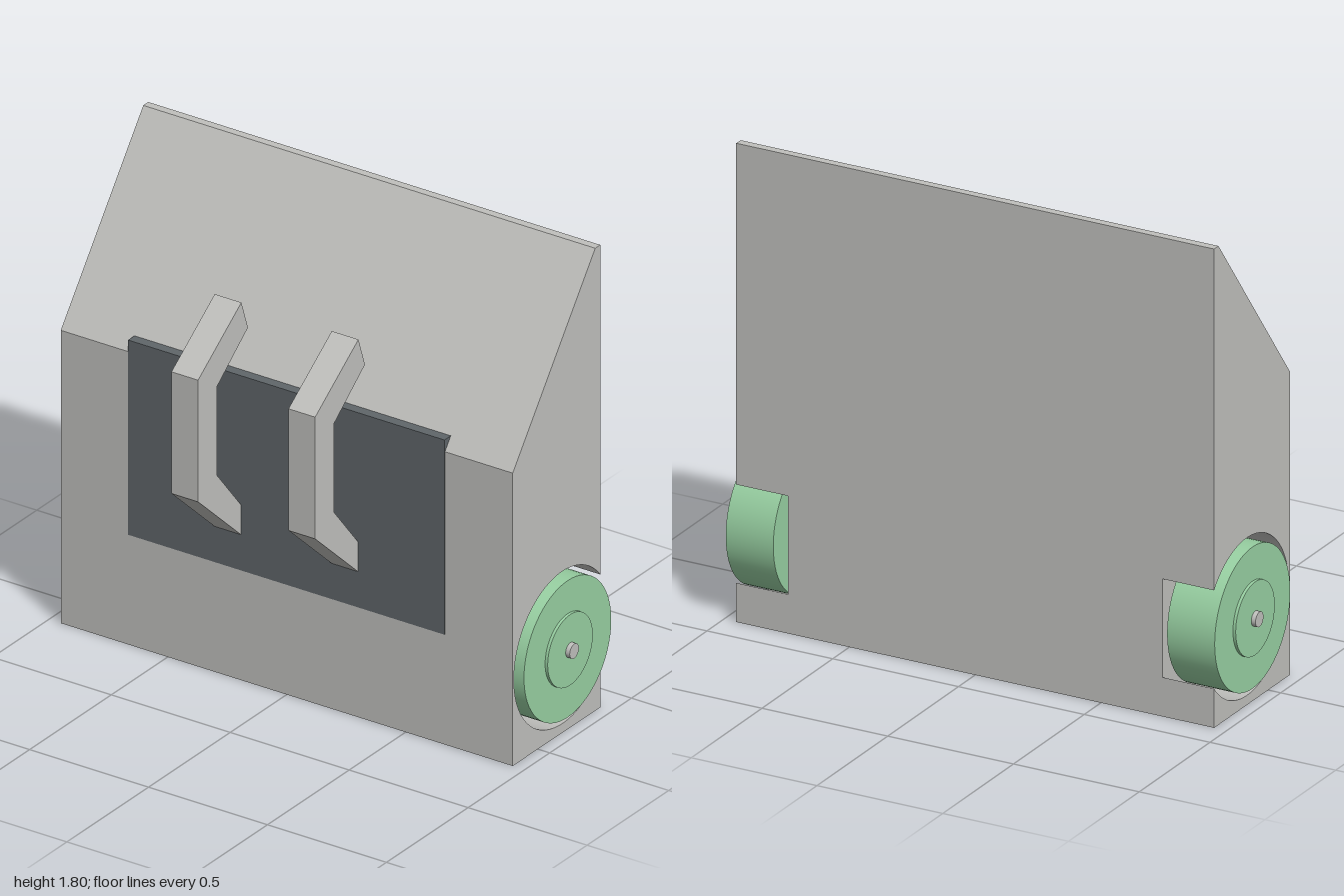
import * as THREE from 'three';
import { toCreasedNormals } from 'three/addons/utils/BufferGeometryUtils.js';

const flat = (name, color) => {
  const m = new THREE.MeshStandardMaterial({ color });
  m.name = name;
  return m;
};

// Wheel centre, well radius and body limits, in side-on (z, y) coordinates
const AXLE_Z = -0.15, AXLE_Y = 0.333, WELL_R = 0.297;
const FRONT = 0.154, BACK = -0.382, TOP = 1.805;
const HALF_WIDTH = 0.95, WELL_X = 0.745;

// Extrudes a (z, y) profile across x, centred on x = 0
function acrossX(shape, width) {
  const g = new THREE.ExtrudeGeometry(shape, { depth: width, bevelEnabled: false, curveSegments: 48 });
  g.translate(0, 0, -width / 2);
  g.rotateY(-Math.PI / 2);
  return toCreasedNormals(g, 0.5);
}

// Sloped-top body profile, optionally with a round wheel well open at the back
function bodyProfile(withWell) {
  const s = new THREE.Shape();
  s.moveTo(BACK, 0);
  s.lineTo(FRONT, 0);
  s.lineTo(FRONT, 1.143);
  s.lineTo(-0.351, TOP);
  s.lineTo(BACK, TOP);
  if (withWell) {
    const a = Math.acos((BACK - AXLE_Z) / WELL_R);
    s.lineTo(BACK, AXLE_Y + WELL_R * Math.sin(a));
    s.absarc(AXLE_Z, AXLE_Y, WELL_R, a, -a, true);
  }
  s.closePath();
  return s;
}

export function createModel() {
  const grey = flat('light grey', 0xc0c0bd);
  const green = flat('soft green', 0x98d0a2);
  const slate = flat('dark slate', 0x60666a);
  const model = new THREE.Group();
  model.name = 'wheeledCase';

  const add = (name, geometry, material, x = 0, y = 0, z = 0, parent = model) => {
    const mesh = new THREE.Mesh(geometry, material);
    mesh.name = name;
    mesh.position.set(x, y, z);
    parent.add(mesh);
    return mesh;
  };

  // Cylinder lying along x between two x values, on the wheel axis
  const disc = (name, radius, x0, x1, material, parent) => {
    const g = new THREE.CylinderGeometry(radius, radius, Math.abs(x1 - x0), 64);
    g.rotateZ(Math.PI / 2);
    add(name, g, material, (x0 + x1) / 2, AXLE_Y, AXLE_Z, parent);
  };

  // Body: solid core, with end slabs that carry the wheel wells
  add('bodyCore', acrossX(bodyProfile(false), 2 * WELL_X), grey);
  const endGeometry = acrossX(bodyProfile(true), HALF_WIDTH - WELL_X);

  // Hook profile, with its foot sunk into the front panel
  const hook = new THREE.Shape([
    [0.155, 1.475], [0.115, 1.36], [0.305, 1.21], [0.305, 0.865],
    [0.152, 0.68], [0.12, 0.66], [0.12, 0.537], [0.152, 0.565], [0.42, 0.81], [0.42, 1.285],
  ].map(([z, y]) => new THREE.Vector2(z, y)));
  const hookGeometry = acrossX(hook, 0.112);

  for (const side of [1, -1]) {
    const label = side > 0 ? 'left' : 'right';
    add(label + 'BodyEnd', endGeometry, grey, side * (HALF_WIDTH + WELL_X) / 2);
    add(label + 'Hook', hookGeometry, grey, side * 0.246);

    const wheel = new THREE.Group();
    wheel.name = label + 'Wheel';
    model.add(wheel);
    disc(label + 'Tyre', 0.267, side * 0.783, side * 0.972, green, wheel);
    disc(label + 'Hub', 0.138, side * 0.96, side * 0.983, green, wheel);
    disc(label + 'Axle', 0.028, side * 0.73, side, grey, wheel);
  }

  // Front panel, set into the body and rising just above the foot of the slope
  add('frontPanel', new THREE.BoxGeometry(1.33, 0.76, 0.1), slate, 0, 0.81, 0.107);

  return model;
}
